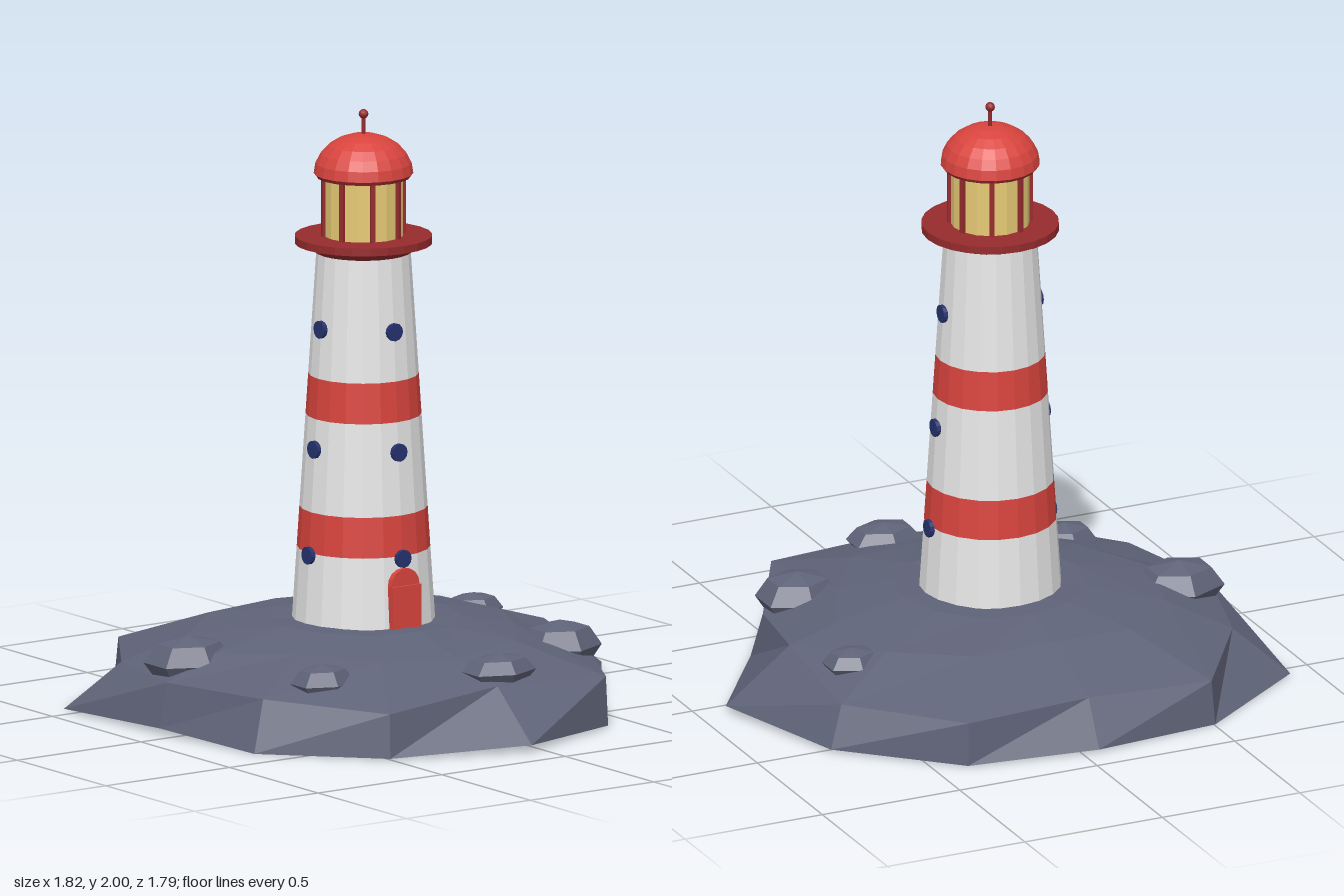
import * as THREE from 'three';

const mat = (name, color) => {
  const m = new THREE.MeshStandardMaterial({ color });
  m.name = name;
  return m;
};

// Faceted normals for the low-poly look
function flat(geo) {
  const g = geo.index ? geo.toNonIndexed() : geo;
  g.computeVertexNormals();
  return g;
}

// Faceted island: 12-sided rings running from the bottom centre up to the top centre
function islandGeometry() {
  const n = 12;
  const same = (v) => Array(n).fill(v);
  const rings = [
    { r: same(0), y: same(0.005) },
    {
      r: [0.962, 0.79, 0.883, 0.95, 0.9, 0.87, 0.825, 0.99, 0.9, 0.837, 0.89, 0.92],
      y: [0.025, 0.01, 0.005, 0.025, 0.005, 0, 0.02, 0.005, 0, 0.01, 0.005, 0.01],
    },
    {
      r: [0.73, 0.75, 0.875, 0.756, 0.88, 0.8, 0.795, 0.8, 0.885, 0.757, 0.876, 0.86],
      y: [0.2, 0.16, 0.17, 0.19, 0.15, 0.17, 0.17, 0.16, 0.15, 0.165, 0.15, 0.15],
    },
    {
      r: [0.56, 0.5, 0.55, 0.53, 0.55, 0.5, 0.6, 0.58, 0.56, 0.5, 0.56, 0.6],
      y: [0.25, 0.26, 0.26, 0.245, 0.255, 0.265, 0.245, 0.25, 0.26, 0.27, 0.26, 0.25],
    },
    { r: same(0.32), y: [0.3, 0.295, 0.29, 0.3, 0.295, 0.3, 0.3, 0.295, 0.3, 0.3, 0.295, 0.3] },
    { r: same(0), y: same(0.3) },
  ];
  const pos = [];
  const idx = [];
  rings.forEach(({ r, y }) => {
    for (let j = 0; j < n; j++) {
      const a = (j / n) * Math.PI * 2;
      pos.push(r[j] * Math.cos(a), y[j], r[j] * Math.sin(a));
    }
  });
  for (let i = 0; i < rings.length - 1; i++) {
    for (let j = 0; j < n; j++) {
      const k = (j + 1) % n;
      const a = i * n + j, a2 = i * n + k, b = a + n, b2 = a2 + n;
      if (i > 0) idx.push(a, b, a2);
      if (i < rings.length - 2) idx.push(a2, b, b2);
    }
  }
  const g = new THREE.BufferGeometry();
  g.setAttribute('position', new THREE.Float32BufferAttribute(pos, 3));
  g.setIndex(idx);
  return flat(g);
}

export function createModel() {
  const white = mat('white paint', 0xececec);
  const red = mat('red paint', 0xd9443e);
  const darkRed = mat('dark red trim', 0x962b2d);
  const glass = mat('lantern glass', 0xe8cb76);
  const navy = mat('navy window', 0x26336e);
  const rock = mat('island rock', 0x5f6378);

  const model = new THREE.Group();
  model.name = 'lighthouse';
  // Tower axis and island share this centre
  const core = new THREE.Group();
  core.name = 'towerAndIsland';
  core.position.set(-0.055, 0, -0.062);
  model.add(core);

  const add = (name, geo, material, x = 0, y = 0, z = 0, parent = core) => {
    const m = new THREE.Mesh(geo, material);
    m.name = name;
    m.position.set(x, y, z);
    parent.add(m);
    return m;
  };

  add('island', islandGeometry(), rock);

  // Boulders: x, y, z, radii in x, y, z
  [
    [-0.7, 0.21, -0.15, 0.158, 0.086, 0.127],
    [-0.53, 0.205, 0.37, 0.115, 0.063, 0.088],
    [0.015, 0.22, 0.605, 0.135, 0.057, 0.096],
    [0.465, 0.2, 0.32, 0.146, 0.086, 0.122],
    [0.56, 0.207, -0.3, 0.104, 0.053, 0.086],
  ].forEach(([x, y, z, rx, ry, rz]) => {
    const g = new THREE.SphereGeometry(1, 6, 4, Math.PI / 2).scale(rx, ry, rz);
    add('boulder', flat(g), rock, x, y, z, model);
  });

  // Tapered tower in alternating bands
  const radiusAt = (y) => 0.235 - ((y - 0.3) / 1.23) * 0.08;
  const levels = [0.27, 0.535, 0.67, 0.98, 1.115, 1.535];
  for (let i = 0; i < levels.length - 1; i++) {
    const [lo, hi] = [levels[i], levels[i + 1]];
    const g = new THREE.CylinderGeometry(radiusAt(hi), radiusAt(lo), hi - lo, 20, 1, true);
    add(i % 2 ? 'redBand' : 'whiteBand', flat(g), i % 2 ? red : white, 0, (lo + hi) / 2, 0);
  }

  // Round windows on the front and both sides
  [0, Math.PI / 2, -Math.PI / 2].forEach((a) => {
    [0.527, 0.88, 1.28].forEach((y) => {
      const g = new THREE.CylinderGeometry(0.03, 0.03, 0.02, 12).rotateX(Math.PI / 2);
      const r = radiusAt(y);
      add('window', flat(g), navy, Math.sin(a) * r, y, Math.cos(a) * r).rotation.y = a;
    });
  });

  // Door with a rounded head
  add('door', new THREE.BoxGeometry(0.114, 0.16, 0.05), red, 0, 0.36, 0.222);
  const head = new THREE.CylinderGeometry(0.057, 0.057, 0.04, 16).rotateX(Math.PI / 2);
  add('doorHead', flat(head), red, 0, 0.44, 0.217);

  // Gallery: flared support under a flat deck
  add('gallerySupport', flat(new THREE.CylinderGeometry(0.205, 0.158, 0.032, 24)), darkRed, 0, 1.539, 0);
  add('galleryDeck', flat(new THREE.CylinderGeometry(0.227, 0.227, 0.026, 24)), darkRed, 0, 1.565, 0);

  // Lantern room with eight posts
  add('lanternGlass', flat(new THREE.CylinderGeometry(0.131, 0.131, 0.21, 16)), glass, 0, 1.68, 0);
  for (let i = 0; i < 8; i++) {
    const a = ((i + 0.5) / 8) * Math.PI * 2;
    const post = new THREE.BoxGeometry(0.016, 0.21, 0.016);
    add('lanternPost', post, darkRed, Math.sin(a) * 0.133, 1.68, Math.cos(a) * 0.133).rotation.y = a;
  }

  // Domed roof, eaves ring and finial
  add('eaves', flat(new THREE.CylinderGeometry(0.162, 0.155, 0.014, 20)), darkRed, 0, 1.781, 0);
  const dome = new THREE.SphereGeometry(0.164, 20, 6, 0, Math.PI * 2, 0, Math.PI / 2).scale(1, 0.81, 1);
  add('dome', flat(dome), red, 0, 1.786, 0);
  add('finialRod', new THREE.CylinderGeometry(0.007, 0.007, 0.08, 8), darkRed, 0, 1.945, 0);
  add('finialBall', new THREE.SphereGeometry(0.016, 10, 8), darkRed, 0, 1.984, 0);

  return model;
}
